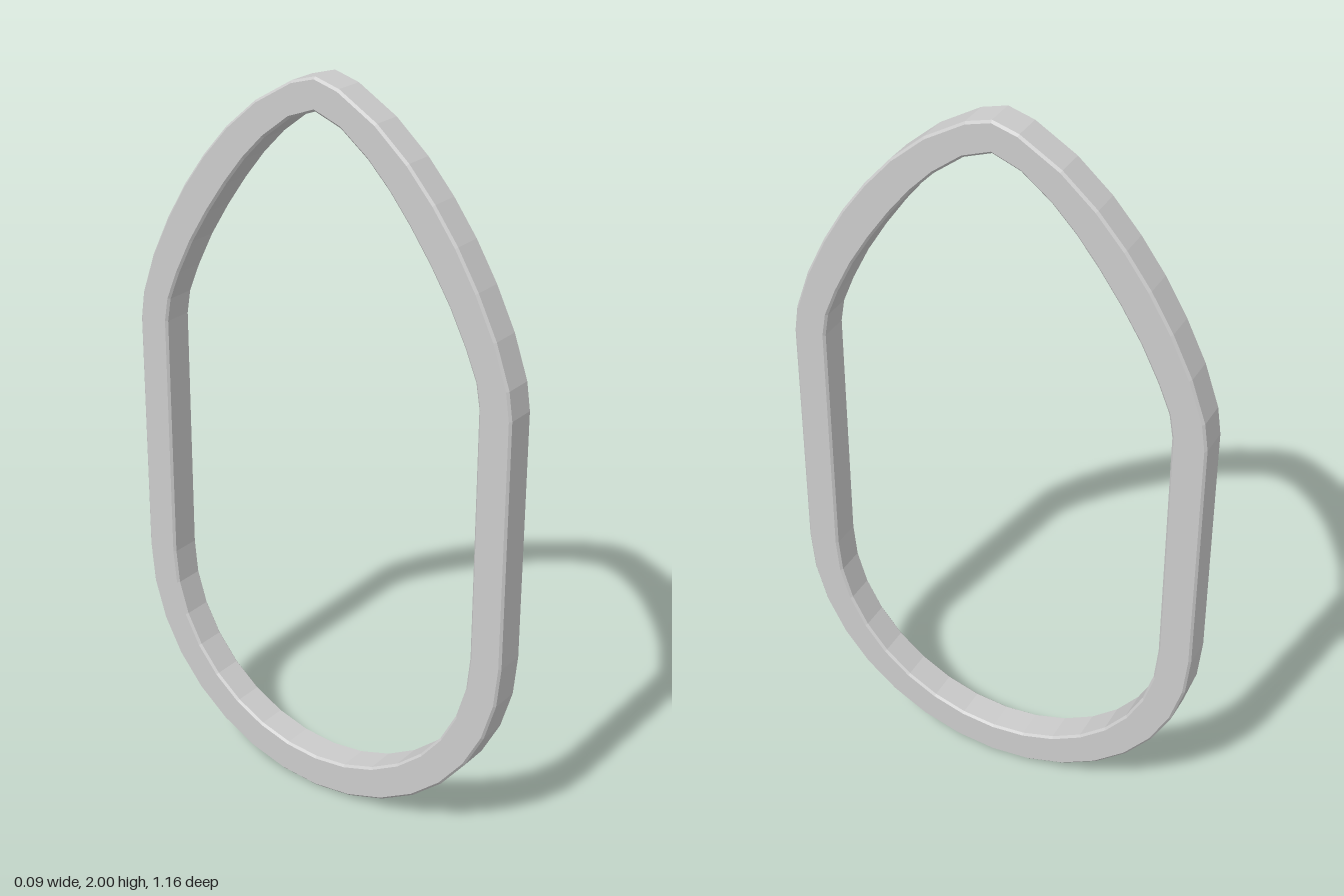
import * as THREE from 'three';

// Closed outline: faceted semicircle below, straight flanks, pointed arch above
function outline(radius, centreY, arch) {
  const half = [];
  for (let i = 0; i <= 8; i++) {
    const a = (i / 8) * Math.PI / 2;
    half.push([radius * Math.sin(a), centreY - radius * Math.cos(a)]);
  }
  half.push(...arch);
  const mirrored = half.slice(1, -1).reverse().map(([u, v]) => [-u, v]);
  return [...half, ...mirrored].map(([u, v]) => new THREE.Vector2(u, v));
}

export function createModel() {
  const group = new THREE.Group();
  group.name = 'pointedRing';

  const outer = outline(0.578, 0.58, [
    [0.578, 1.26], [0.567, 1.335], [0.527, 1.45], [0.473, 1.56], [0.413, 1.66],
    [0.347, 1.75], [0.272, 1.835], [0.18, 1.915], [0.07, 1.98], [0, 2],
  ]);
  const inner = outline(0.486, 0.583, [
    [0.486, 1.27], [0.475, 1.335], [0.442, 1.415], [0.394, 1.51], [0.338, 1.6],
    [0.278, 1.685], [0.218, 1.76], [0.155, 1.825], [0.075, 1.887], [0, 1.915],
  ]);

  // Flat band with a fine chamfer on every edge
  const shape = new THREE.Shape(outer);
  shape.holes.push(new THREE.Path(inner));
  const width = 0.092, bevel = 0.006;
  const geometry = new THREE.ExtrudeGeometry(shape, {
    depth: width - 2 * bevel,
    bevelEnabled: true,
    bevelThickness: bevel,
    bevelSize: bevel,
    bevelOffset: -bevel,
    bevelSegments: 1,
    steps: 1,
  });
  geometry.translate(0, 0, bevel - width / 2);
  geometry.rotateY(Math.PI / 2);

  const frame = new THREE.Mesh(
    geometry,
    new THREE.MeshStandardMaterial({ color: 0xcccccc, flatShading: true })
  );
  frame.name = 'archedFrame';
  group.add(frame);
  return group;
}
